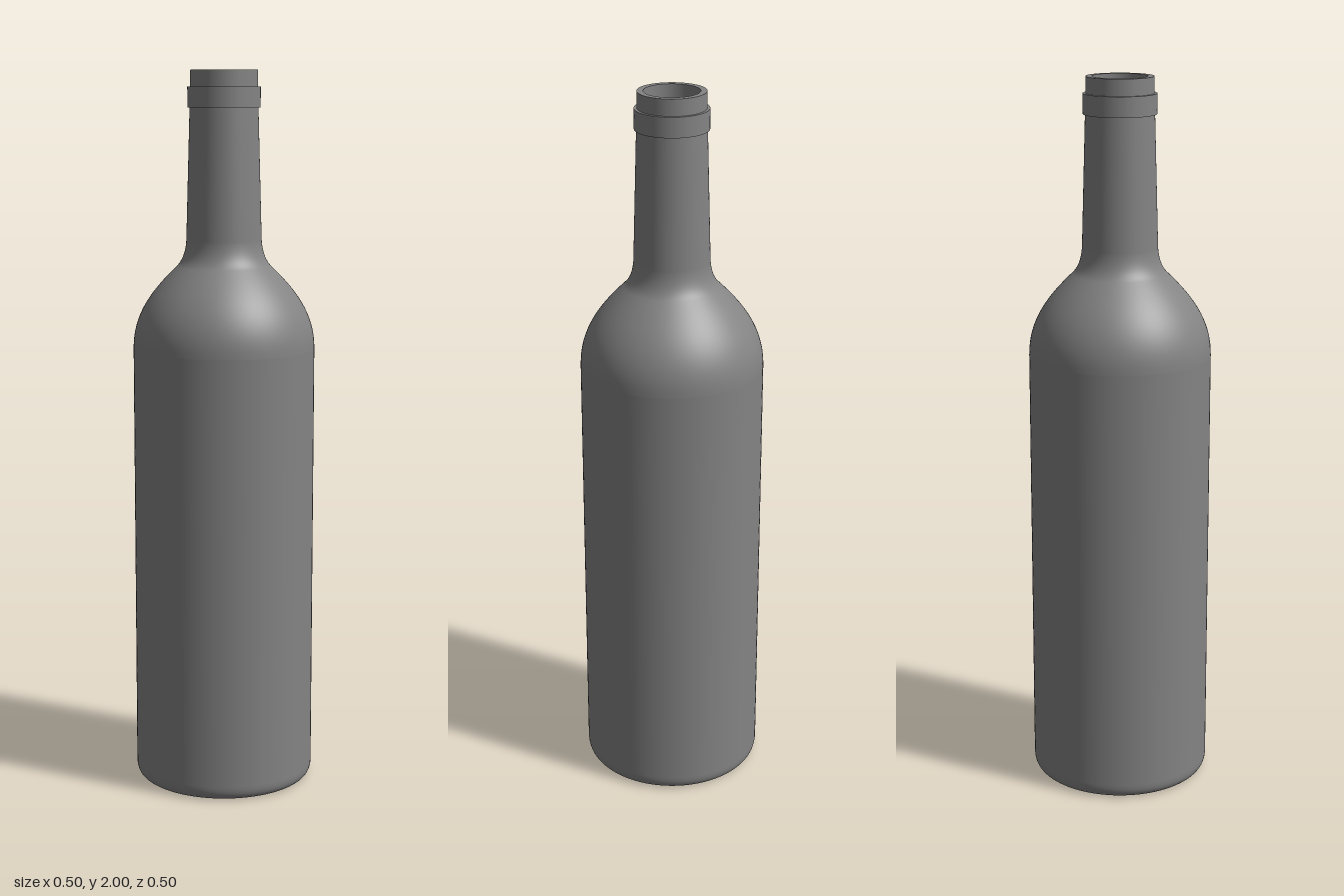
import * as THREE from 'three';

const SEGMENTS = 96;

export function createModel() {
  const bottle = new THREE.Group();
  bottle.name = 'bottle';
  const material = new THREE.MeshStandardMaterial({ color: 0x848484, side: THREE.DoubleSide });

  // Revolve one smooth stretch of the profile around the y axis
  const revolve = (name, points) => {
    const mesh = new THREE.Mesh(new THREE.LatheGeometry(points, SEGMENTS), material);
    mesh.name = name;
    bottle.add(mesh);
  };

  // Revolve a hard-edged profile: every straight stretch keeps its own normals
  const revolveSharp = (name, pairs) => {
    for (let i = 0; i < pairs.length - 1; i++) {
      revolve(name, [new THREE.Vector2(...pairs[i]), new THREE.Vector2(...pairs[i + 1])]);
    }
  };

  // Underside: gently domed punt, rounded foot
  const base = new THREE.Path();
  base.moveTo(0, 0.085);
  base.bezierCurveTo(0.08, 0.085, 0.13, 0.008, 0.2, 0);
  base.lineTo(0.222, 0);
  base.quadraticCurveTo(0.252, 0, 0.252, 0.04);
  revolve('base', base.getPoints(14));

  // Straight body
  revolveSharp('body', [[0.252, 0.04], [0.252, 1.24]]);

  // Shoulder sweeping into the tapered neck
  const shoulder = new THREE.Path();
  shoulder.moveTo(0.252, 1.24);
  shoulder.bezierCurveTo(0.252, 1.335, 0.2, 1.4, 0.132, 1.466);
  shoulder.quadraticCurveTo(0.107, 1.49, 0.104, 1.54);
  shoulder.lineTo(0.094, 1.9);
  revolve('shoulderAndNeck', shoulder.getPoints(16));

  // Raised collar and mouth rim
  revolveSharp('collar', [[0.094, 1.9], [0.1, 1.9], [0.1, 1.955], [0.092, 1.955]]);
  revolveSharp('rim', [[0.092, 1.955], [0.092, 2], [0.075, 2]]);

  // Hollow inside, from the mouth down to the raised floor
  const inside = new THREE.Path();
  inside.moveTo(0.075, 2);
  inside.lineTo(0.085, 1.54);
  inside.quadraticCurveTo(0.09, 1.48, 0.118, 1.45);
  inside.bezierCurveTo(0.18, 1.39, 0.232, 1.325, 0.232, 1.24);
  inside.lineTo(0.232, 0.06);
  inside.quadraticCurveTo(0.232, 0.025, 0.2, 0.025);
  inside.bezierCurveTo(0.13, 0.033, 0.08, 0.11, 0, 0.11);
  revolve('inside', inside.getPoints(14));

  return bottle;
}
